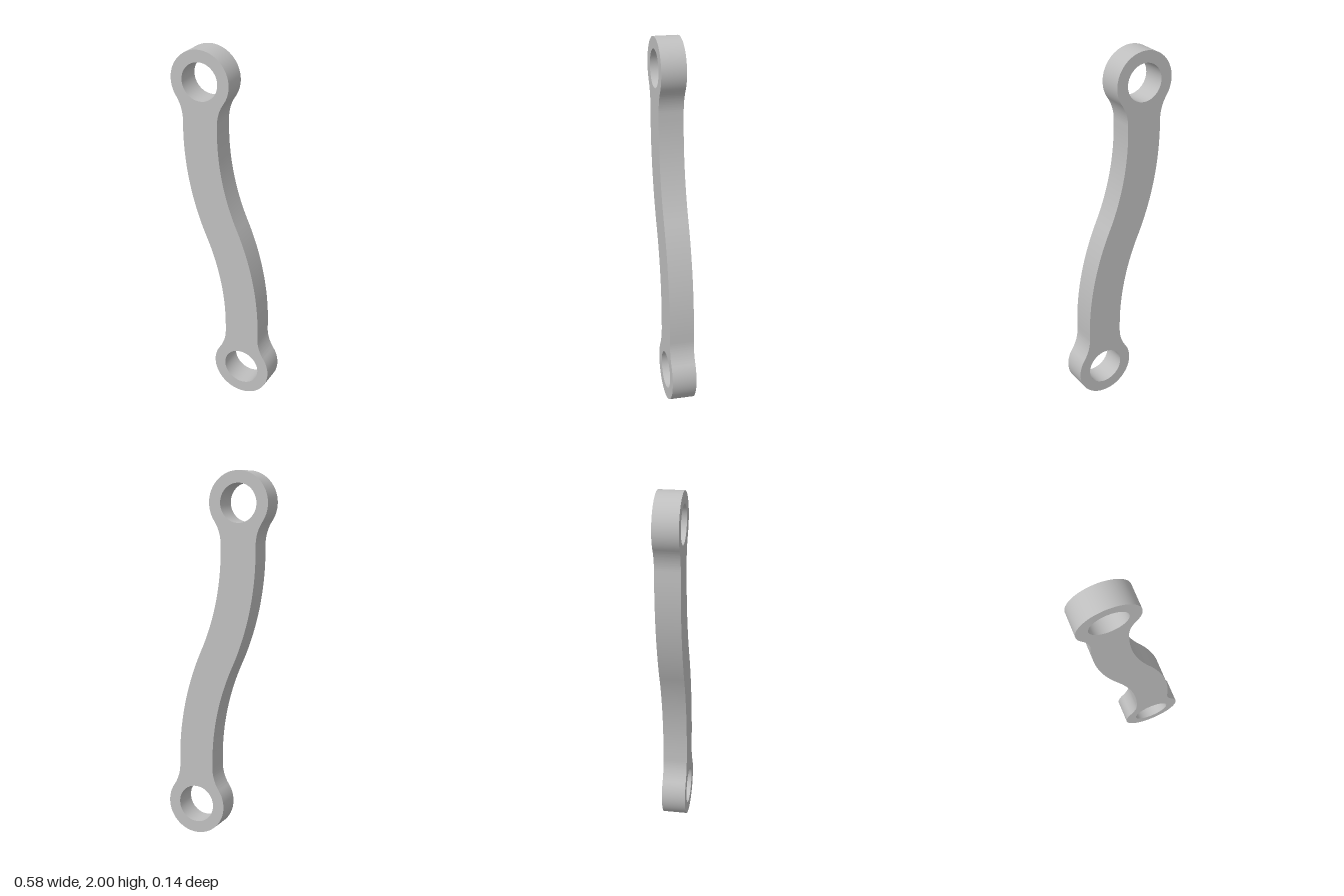
import * as THREE from 'three';
import { toCreasedNormals } from 'three/addons/utils/BufferGeometryUtils.js';

const THICKNESS = 0.135;
const EYE = { x: -0.125, y: 1.833, outer: 0.167, hole: 0.103 }; // upper eye
const HALF_WIDTH = 0.1;  // half the arm's width
const BEND_Y = 1.58;     // where the arm starts to curve
const FILLET = 0.22;     // blend between eye and arm

export function createModel() {
  const group = new THREE.Group();
  const steel = new THREE.MeshStandardMaterial({ color: 0xbfbfbf });
  steel.name = 'grey metal';

  // Centreline bend: an arc from the vertical at BEND_Y to the middle (0, 1)
  const dx = -EYE.x, dy = BEND_Y - 1;
  const R = (dx * dx + dy * dy) / (2 * dx);
  const bendX = EYE.x + R;
  const bend = Math.atan2(dy, bendX);

  // Fillet tangent to both the eye and the arm's side
  const fx = HALF_WIDTH + FILLET;
  const fy = Math.sqrt((EYE.outer + FILLET) ** 2 - fx * fx);
  const blend = Math.atan2(fy, fx);

  // Closed outline: one half, then the same half turned by 180 degrees about (0, 1)
  const outline = new THREE.Shape();
  for (const s of [1, -1]) {
    const turn = s > 0 ? 0 : Math.PI;
    const arc = (x, y, r, from, to, clockwise) =>
      outline.absarc(s * x, 1 + s * (y - 1), r, from + turn, to + turn, clockwise);
    arc(EYE.x, EYE.y, EYE.outer, -blend, Math.PI + blend, false);          // eye rim
    arc(EYE.x - fx, EYE.y - fy, FILLET, blend, 0, true);                   // fillet
    arc(bendX, BEND_Y, R + HALF_WIDTH, Math.PI, Math.PI + bend, false);    // outer bend
    arc(-bendX, 2 - BEND_Y, R - HALF_WIDTH, bend, 0, true);                // inner bend
    arc(-EYE.x - fx, 2 - EYE.y + fy, FILLET, 0, -blend, true);             // fillet
  }
  outline.closePath();

  // Bores through both eyes
  for (const s of [1, -1]) {
    const hole = new THREE.Path();
    hole.absarc(s * EYE.x, 1 + s * (EYE.y - 1), EYE.hole, 0, Math.PI * 2, true);
    outline.holes.push(hole);
  }

  const solid = new THREE.ExtrudeGeometry(outline, {
    depth: THICKNESS, bevelEnabled: false, curveSegments: 24,
  });
  solid.translate(0, 0, -THICKNESS / 2);
  solid.clearGroups();

  const link = new THREE.Mesh(toCreasedNormals(solid, Math.PI / 6), steel);
  link.name = 'curvedLink';
  group.add(link);
  return group;
}
